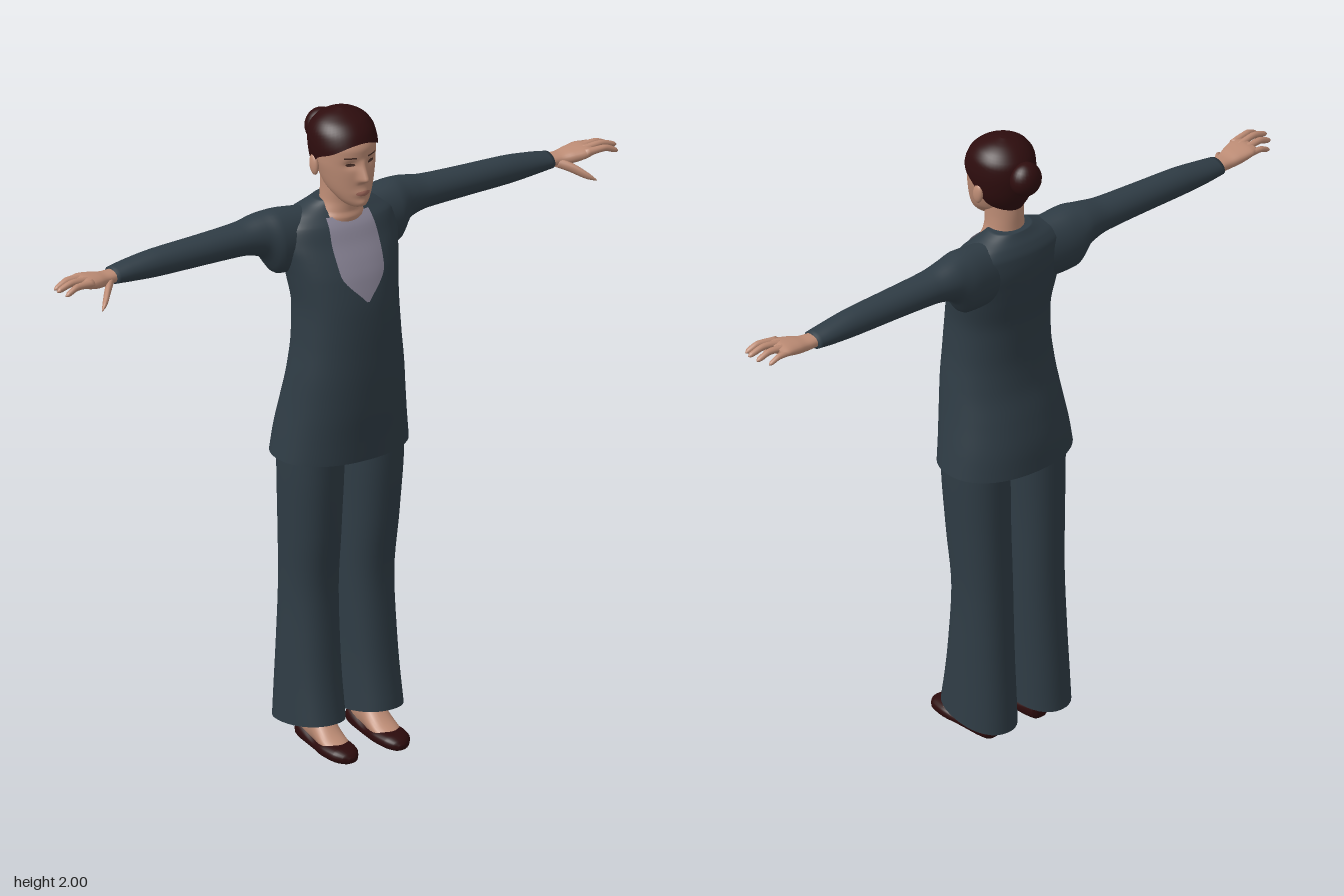
import * as THREE from 'three';

const mat = (name, color, side = THREE.FrontSide) => {
  const m = new THREE.MeshStandardMaterial({ color, side });
  m.name = name;
  return m;
};

// Value of a section table at position t (monotone cubic through the rows)
function at(rows, t) {
  const last = rows.length - 1;
  let i = 0;
  while (i < last - 1 && t > rows[i + 1][0]) i++;
  const slope = (k, j) => (rows[k + 1][j] - rows[k][j]) / (rows[k + 1][0] - rows[k][0]);
  const tangent = (k, j) => {
    if (k === 0) return slope(0, j);
    if (k === last) return slope(last - 1, j);
    const a = slope(k - 1, j), b = slope(k, j);
    return a * b <= 0 ? 0 : (2 * a * b) / (a + b);
  };
  const h = rows[i + 1][0] - rows[i][0];
  const s = Math.min(1, Math.max(0, (t - rows[i][0]) / h)), s2 = s * s, s3 = s2 * s;
  return rows[i].map((v, j) => j === 0 ? t :
    v * (2 * s3 - 3 * s2 + 1) + tangent(i, j) * h * (s3 - 2 * s2 + s) +
    rows[i + 1][j] * (3 * s2 - 2 * s3) + tangent(i + 1, j) * h * (s3 - s2));
}

// Closed skin over rings of [x, y, z] points, facing outwards
function skinRings(rings, capStart, capEnd) {
  const n = rings[0].length, pos = rings.flat(2), idx = [];
  for (let r = 0; r < rings.length - 1; r++) {
    for (let k = 0; k < n; k++) {
      const a = r * n + k, b = r * n + (k + 1) % n;
      idx.push(a, b, a + n, b, b + n, a + n);
    }
  }
  const cap = (r, flip) => {
    const c = pos.length / 3;
    for (let j = 0; j < 3; j++) pos.push(rings[r].reduce((s, p) => s + p[j], 0) / n);
    for (let k = 0; k < n; k++) {
      const a = r * n + k, b = r * n + (k + 1) % n;
      idx.push(...(flip ? [b, a, c] : [a, b, c]));
    }
  };
  if (capStart) cap(0, true);
  if (capEnd) cap(rings.length - 1, false);
  const geo = new THREE.BufferGeometry();
  geo.setAttribute('position', new THREE.Float32BufferAttribute(pos, 3));
  geo.computeBoundingBox();
  const mid = geo.boundingBox.getCenter(new THREE.Vector3());
  const v = (i) => new THREE.Vector3(pos[3 * i], pos[3 * i + 1], pos[3 * i + 2]).sub(mid);
  let volume = 0;
  for (let i = 0; i < idx.length; i += 3) volume += v(idx[i]).dot(v(idx[i + 1]).cross(v(idx[i + 2])));
  if (volume < 0) idx.reverse();
  geo.setIndex(idx);
  geo.computeVertexNormals();
  return geo;
}

const bend = (v, e) => Math.sign(v) * Math.abs(v) ** (2 / e);

// One ring of a section [t, aMin, aMax, bMin, bMax]
function ring(row, axis, n, e, side) {
  const [t, a0, a1, b0, b1] = row;
  return Array.from({ length: n }, (_, k) => {
    const q = (k / n) * Math.PI * 2;
    const a = (a0 + a1) / 2 + (a1 - a0) / 2 * bend(Math.cos(q), e);
    const b = (b0 + b1) / 2 + (b1 - b0) / 2 * bend(Math.sin(q), e);
    const p = axis === 'x' ? [t, a, b] : axis === 'y' ? [a, t, b] : [a, b, t];
    p[0] *= side;
    return p;
  });
}

function loft(rows, { axis = 'y', n = 32, e = 2, side = 1, steps = 5, caps = [true, true], warp } = {}) {
  const rings = [];
  rows.forEach((row, i) => {
    const m = i < rows.length - 1 ? steps : 1;
    for (let s = 0; s < m; s++) {
      const t = m === 1 ? row[0] : row[0] + (rows[i + 1][0] - row[0]) * s / m;
      rings.push(ring(at(rows, t), axis, n, e, side));
    }
  });
  if (warp) rings.forEach((r) => r.forEach(warp));
  return skinRings(rings, ...caps);
}

// [t, halfWidth, front, back, centre] to a section row
const sym = (rows) => rows.map(([t, w, f, b, c = 0]) => [t, c - w, c + w, b, f]);
const frontZ = (rows, x, y, e) => {
  const [, a0, a1, b0, b1] = at(rows, y);
  const u = Math.min(1, Math.abs(x) / ((a1 - a0) / 2));
  return (b0 + b1) / 2 + (b1 - b0) / 2 * (1 - u ** e) ** (1 / e);
};

const TUNIC = sym([
  [0.93, 0.215, 0.125, -0.18], [1.0, 0.205, 0.131, -0.175], [1.1, 0.19, 0.14, -0.155],
  [1.2, 0.178, 0.143, -0.13], [1.3, 0.167, 0.14, -0.12], [1.4, 0.163, 0.132, -0.121],
  [1.5, 0.175, 0.11, -0.135], [1.55, 0.185, 0.09, -0.14], [1.6, 0.195, 0.064, -0.143],
  [1.65, 0.19, 0.04, -0.138], [1.68, 0.15, 0.014, -0.125], [1.7, 0.1, 0, -0.11], [1.715, 0.066, -0.005, -0.1]]);
const LEG = sym([
  [0.083, 0.09, 0.098, -0.165, 0.1], [0.3, 0.083, 0.068, -0.15, 0.098], [0.5, 0.08, 0.055, -0.14, 0.096],
  [0.7, 0.084, 0.075, -0.135, 0.1], [0.93, 0.09, 0.09, -0.13, 0.103], [1.02, 0.09, 0.09, -0.115, 0.103]]);
const HEAD = sym([
  [1.722, 0.018, 0.085, 0.035], [1.73, 0.033, 0.098, 0.01], [1.75, 0.051, 0.102, -0.02],
  [1.78, 0.068, 0.102, -0.06], [1.82, 0.08, 0.102, -0.085], [1.86, 0.088, 0.1, -0.1], [1.9, 0.09, 0.1, -0.105],
  [1.94, 0.083, 0.08, -0.095], [1.97, 0.06, 0.045, -0.07], [1.985, 0.025, 0.01, -0.04]]);
const HAIR = sym([
  [1.78, 0.06, 0.1, -0.086], [1.82, 0.086, 0.106, -0.106], [1.86, 0.095, 0.106, -0.117], [1.9, 0.099, 0.104, -0.12],
  [1.94, 0.095, 0.089, -0.114], [1.97, 0.078, 0.062, -0.092], [1.99, 0.046, 0.022, -0.062], [2.0, 0.008, -0.01, -0.03]]);
const NECK = sym([
  [1.63, 0.08, 0.03, -0.08], [1.67, 0.075, 0.04, -0.085], [1.69, 0.066, 0.034, -0.087],
  [1.72, 0.056, 0.034, -0.087], [1.76, 0.054, 0.04, -0.088], [1.82, 0.055, 0.03, -0.085]]);
const SHOE = sym([
  [-0.092, 0.016, 0.048, 0.01, 0.088], [-0.08, 0.031, 0.058, 0.002, 0.088], [-0.04, 0.038, 0.052, 0, 0.088],
  [0.03, 0.042, 0.036, 0, 0.088], [0.09, 0.051, 0.046, 0, 0.09], [0.14, 0.045, 0.044, 0, 0.09],
  [0.168, 0.028, 0.034, 0.002, 0.088], [0.18, 0.01, 0.022, 0.008, 0.086]]);
const FOOT = sym([
  [-0.078, 0.022, 0.13, 0.02, 0.088], [-0.04, 0.034, 0.14, 0.01, 0.088], [0.01, 0.038, 0.13, 0.01, 0.088],
  [0.05, 0.041, 0.09, 0.01, 0.088], [0.09, 0.043, 0.06, 0.01, 0.089], [0.13, 0.03, 0.042, 0.01, 0.089]]);
// Arm and palm sections run along x: [x, yBottom, yTop, zBack, zFront]
const ARM = [
  [0.05, 1.55, 1.69, -0.12, 0], [0.12, 1.5, 1.697, -0.135, 0.01], [0.2, 1.505, 1.704, -0.143, 0.01],
  [0.25, 1.567, 1.698, -0.137, -0.01], [0.32, 1.585, 1.685, -0.128, -0.02], [0.45, 1.588, 1.679, -0.122, -0.025],
  [0.6, 1.59, 1.674, -0.118, -0.03], [0.7, 1.597, 1.662, -0.115, -0.035], [0.755, 1.603, 1.652, -0.11, -0.038]];
const PALM = [
  [0.74, 1.61, 1.645, -0.1, -0.046], [0.78, 1.608, 1.645, -0.1, -0.04], [0.82, 1.612, 1.652, -0.105, -0.024],
  [0.86, 1.622, 1.656, -0.108, -0.014], [0.885, 1.63, 1.652, -0.1, -0.02]];
// Digits: [x, y, z, radius] from root to tip
const DIGITS = [
  [[0.85, 1.642, -0.026, 0.012], [0.91, 1.648, -0.017, 0.01], [0.945, 1.636, -0.012, 0.008], [0.954, 1.632, -0.012, 0.002]],
  [[0.85, 1.643, -0.05, 0.012], [0.91, 1.652, -0.043, 0.01], [0.957, 1.641, -0.04, 0.008], [0.966, 1.638, -0.04, 0.002]],
  [[0.85, 1.642, -0.074, 0.012], [0.91, 1.648, -0.07, 0.01], [0.949, 1.636, -0.068, 0.008], [0.958, 1.633, -0.068, 0.002]],
  [[0.85, 1.638, -0.095, 0.011], [0.895, 1.638, -0.096, 0.009], [0.925, 1.627, -0.095, 0.007], [0.933, 1.624, -0.095, 0.002]],
  [[0.765, 1.622, -0.06, 0.014], [0.795, 1.612, -0.03, 0.016], [0.835, 1.588, 0.012, 0.011], [0.853, 1.577, 0.028, 0.003]]];

// Nose, sockets, lips and chin pushed out of the smooth face
const bump = (x, y, cx, cy, rx, ry) => Math.exp(-(((x - cx) / rx) ** 2) - ((y - cy) / ry) ** 2);
function faceRelief(x, y) {
  const ramp = y > 1.817 ? Math.max(0, 1 - (y - 1.817) / 0.06) : Math.max(0, 1 - (1.817 - y) / 0.016);
  return 0.03 * ramp * Math.exp(-((x / 0.014) ** 2)) +
    0.006 * bump(x, y, 0, 1.772, 0.024, 0.012) + 0.005 * bump(x, y, 0, 1.738, 0.02, 0.012) -
    0.008 * bump(Math.abs(x), y, 0.034, 1.862, 0.018, 0.012);
}
const faceZ = (x, y) => frontZ(HEAD, x, y, 2) + faceRelief(x, y);

export function createModel() {
  const skin = mat('skin', 0xbd8c75), hair = mat('hair', 0x2e0d0e, THREE.DoubleSide);
  const cloth = mat('suit cloth', 0x2f3c45, THREE.DoubleSide), blouse = mat('blouse', 0x8a8597, THREE.DoubleSide);
  const leather = mat('shoe leather', 0x2c0b0c), lip = mat('lips', 0xa26a5c, THREE.DoubleSide);
  const dark = mat('eyes and brows', 0x4a3028, THREE.DoubleSide);
  const model = new THREE.Group();
  const add = (name, geo, material) => {
    const mesh = new THREE.Mesh(geo, material);
    mesh.name = name;
    model.add(mesh);
    return mesh;
  };
  const ball = (name, m, p, s) => {
    const mesh = add(name, new THREE.SphereGeometry(1, 24, 16), m);
    mesh.position.set(...p);
    mesh.scale.set(...s);
    return mesh;
  };
  // Thin curved plate laid over a front surface
  const plate = (name, m, cx, y0, y1, width, z) => {
    const geo = new THREE.PlaneGeometry(2, 1, 12, 20), p = geo.attributes.position;
    for (let i = 0; i < p.count; i++) {
      const y = y0 + (y1 - y0) * (p.getY(i) + 0.5), x = cx + p.getX(i) * width(y);
      p.setXYZ(i, x, y, z(x, y));
    }
    geo.computeVertexNormals();
    return add(name, geo, m);
  };

  // Clothing on the body
  add('tunic', loft(TUNIC, { n: 48, e: 2.2, caps: [false, true] }), cloth);
  const OPENING = [[1.435, 0.004], [1.525, 0.075], [1.6, 0.08], [1.676, 0.073]];
  plate('blouse', blouse, 0, 1.435, 1.676, (y) => at(OPENING, y)[1], (x, y) => frontZ(TUNIC, x, y, 2.2) + 0.005);

  // Neck and head
  add('neck', loft(NECK), skin);
  const relief = (p) => { if (p[2] > 0.03) p[2] += faceRelief(p[0], p[1]); };
  add('head', loft(HEAD, { n: 96, steps: 8, warp: relief }), skin);

  // Hair swept back from a hairline that drops behind the ears
  const HAIRLINE = [[-1, 1.785], [-0.5, 1.8], [-0.2, 1.835], [0.1, 1.87], [0.6, 1.895], [1, 1.925]];
  const hairRings = [];
  for (let r = 0; r <= 20; r++) {
    hairRings.push(Array.from({ length: 48 }, (_, k) => {
      const q = (k / 48) * Math.PI * 2, low = at(HAIRLINE, Math.sin(q))[1];
      const y = 2 - (2 - low) * (1 - r / 20) ** 2;
      const [, a0, a1, b0, b1] = at(HAIR, y);
      return [(a1 - a0) / 2 * Math.cos(q), y, (b0 + b1) / 2 + (b1 - b0) / 2 * Math.sin(q)];
    }));
  }
  add('hair', skinRings(hairRings, false, true), hair);
  ball('hairBun', hair, [0, 1.905, -0.124], [0.05, 0.053, 0.043]);

  // Lips
  plate('lips', lip, 0, 1.764, 1.78, (y) => 0.024 * Math.sqrt(Math.max(0.01, 1 - ((y - 1.772) / 0.008) ** 2)),
    (x, y) => faceZ(x, y) + 0.002);

  for (const side of [1, -1]) {
    const label = side > 0 ? 'left' : 'right';
    const oval = (y, c, w, h) => w * Math.sqrt(Math.max(0.01, 1 - ((y - c) / h) ** 2));
    plate(label + 'Eye', dark, side * 0.035, 1.857, 1.867, (y) => oval(y, 1.862, 0.013, 0.005), (x, y) => faceZ(x, y) + 0.002);
    plate(label + 'Brow', dark, side * 0.036, 1.882, 1.887, () => 0.017, (x, y) => faceZ(x, y) + 0.002);
    ball(label + 'Ear', skin, [side * 0.092, 1.84, -0.018], [0.011, 0.032, 0.019]).rotation.x = -0.15;

    // Sleeve and hand
    add(label + 'Sleeve', loft(ARM, { axis: 'x', side }), cloth);
    add(label + 'Palm', loft(PALM, { axis: 'x', side, n: 24, e: 2.4 }), skin);
    for (const digit of DIGITS) {
      const rows = digit.map(([x, y, z, r]) => [x, y - r, y + r, z - r, z + r]);
      add(label + (digit === DIGITS[4] ? 'Thumb' : 'Finger'), loft(rows, { axis: 'x', side, n: 12 }), skin);
    }

    // Trouser leg with a hem rising at the front, foot and shoe
    const hem = (p) => { p[1] += Math.max(0, 1 - (p[1] - 0.083) / 0.1) * (p[2] + 0.034) * 0.14; };
    add(label + 'TrouserLeg', loft(LEG, { side, n: 36, e: 2.2, caps: [false, true], warp: hem }), cloth);
    add(label + 'Foot', loft(FOOT, { axis: 'z', side, n: 24 }), skin);
    add(label + 'Shoe', loft(SHOE, { axis: 'z', side, n: 28, e: 2.6 }), leather);
  }
  return model;
}
